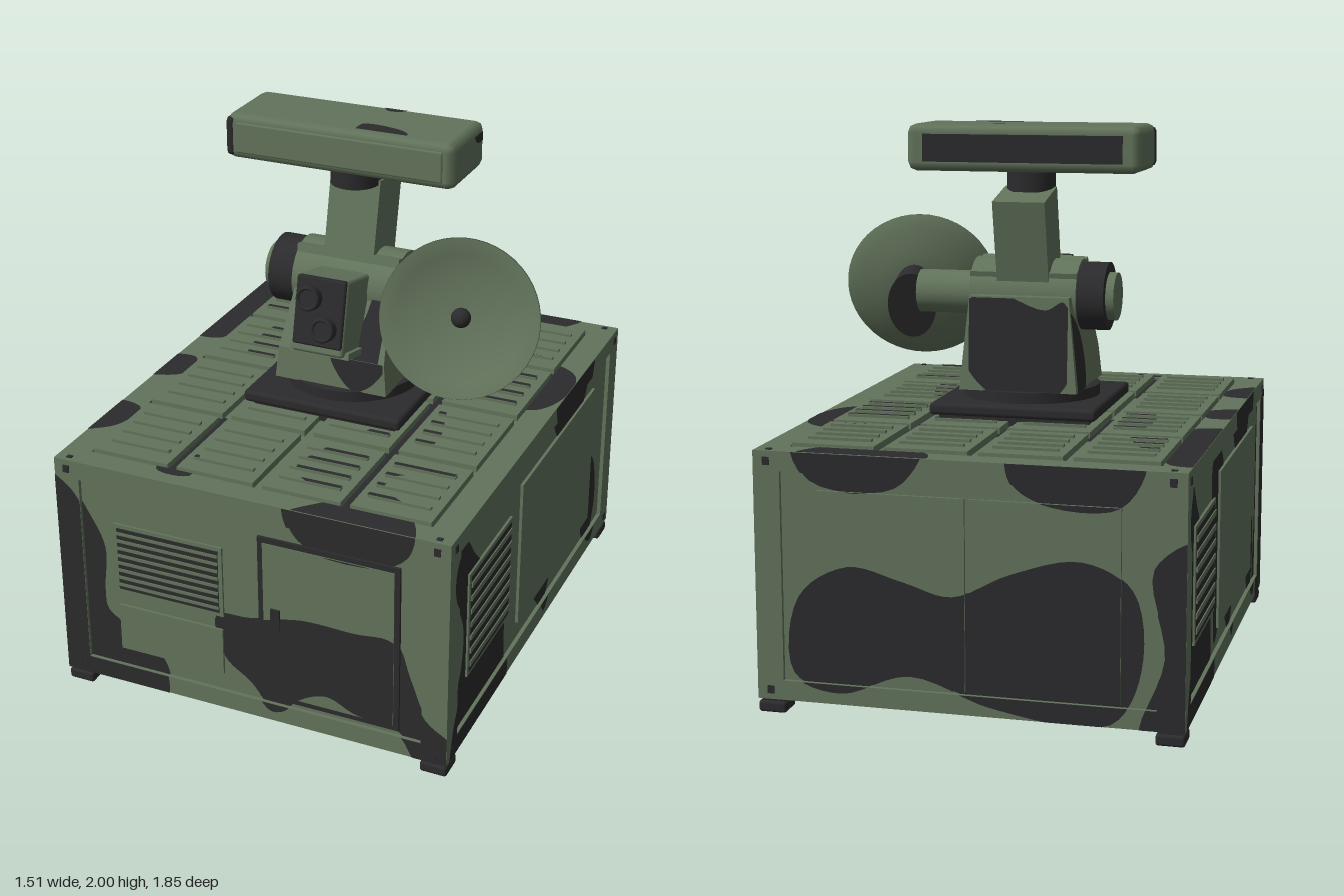
import * as THREE from 'three';
import { RoundedBoxGeometry } from 'three/addons/geometries/RoundedBoxGeometry.js';

const green = new THREE.MeshStandardMaterial({ color: 0x62735b });
green.name = 'field green';
const dark = new THREE.MeshStandardMaterial({ color: 0x2b2b2d });
dark.name = 'charcoal';

function add(parent, name, geo, mat, x = 0, y = 0, z = 0) {
  const m = new THREE.Mesh(geo, mat);
  m.name = name;
  m.position.set(x, y, z);
  parent.add(m);
  return m;
}
const box = (w, h, d) => new THREE.BoxGeometry(w, h, d);
const cyl = (a, b, h, n = 32) => new THREE.CylinderGeometry(a, b, h, n);
function group(parent, name, x = 0, y = 0, z = 0) {
  const g = new THREE.Group();
  g.name = name;
  g.position.set(x, y, z);
  parent.add(g);
  return g;
}

// Smooth closed outline through a few points
function blob(pts) {
  const c = new THREE.CatmullRomCurve3(pts.map(p => new THREE.Vector3(p[0], p[1], 0)), true);
  return c.getPoints(pts.length * 6).slice(0, -1).map(p => [p.x, p.y]);
}
// Cut an outline to a rectangle, one edge at a time
function clip(poly, u0, v0, u1, v1) {
  for (const [k, lim, s] of [[0, u0, 1], [0, u1, -1], [1, v0, 1], [1, v1, -1]]) {
    const out = [];
    poly.forEach((b, i) => {
      const a = poly[(i + poly.length - 1) % poly.length];
      const da = (a[k] - lim) * s, db = (b[k] - lim) * s;
      if ((da >= 0) !== (db >= 0)) {
        const t = da / (da - db);
        out.push([a[0] + (b[0] - a[0]) * t, a[1] + (b[1] - a[1]) * t]);
      }
      if (db >= 0) out.push(b);
    });
    poly = out;
  }
  return poly;
}
// A face is a group whose local +z points outward and which carries camouflage outlines
function face(parent, name, pos, rx, ry, blobs) {
  const g = group(parent, name, ...pos);
  g.rotation.set(rx, ry, 0, 'YXZ');
  g.userData.blobs = blobs.map(blob);
  return g;
}
function paint(f, u0, v0, u1, v1, d) {
  for (const b of f.userData.blobs) {
    const p = clip(b, u0, v0, u1, v1);
    if (p.length < 3) continue;
    const shape = new THREE.Shape(p.map(q => new THREE.Vector2(q[0], q[1])));
    add(f, 'camouflagePatch', new THREE.ShapeGeometry(shape), dark, 0, 0, d + 0.002);
  }
}
function slab(f, name, u0, v0, u1, v1, d, mat = green, painted = true) {
  add(f, name, box(u1 - u0, v1 - v0, 0.03), mat, (u0 + u1) / 2, (v0 + v1) / 2, d - 0.015);
  if (painted && mat === green) paint(f, u0, v0, u1, v1, d);
}
function louver(f, u0, v0, u1, v1, n) {
  slab(f, 'louverFrame', u0, v0, u1, v1, -0.006, green, false);
  slab(f, 'louverOpening', u0 + 0.015, v0 + 0.015, u1 - 0.015, v1 - 0.015, -0.004, dark);
  const step = (v1 - v0 - 0.04) / n;
  for (let i = 0; i < n; i++) {
    const v = v0 + 0.02 + step * (i + 0.3);
    slab(f, 'louverSlat', u0 + 0.015, v, u1 - 0.015, v + step * 0.38, 0, green, false);
  }
}
// Recessed wall, corner posts, rails and corner holes
function wall(f, w) {
  slab(f, 'wallPanel', -w + 0.09, 0.11, w - 0.09, 0.87, -0.015);
  slab(f, 'topRail', -w + 0.095, 0.86, w - 0.095, 0.93, 0);
  slab(f, 'bottomRail', -w + 0.095, 0.05, w - 0.095, 0.12, 0);
  for (const s of [-1, 1]) {
    const c = s * (w - 0.0475);
    slab(f, 'cornerPost', c - 0.0475, 0.05, c + 0.0475, 0.93, 0);
    for (const v of [0.085, 0.895]) slab(f, 'cornerHole', c - 0.012, v - 0.014, c + 0.012, v + 0.014, 0.004, dark);
  }
}

function buildShelter(root) {
  const g = group(root, 'shelter');
  add(g, 'core', box(1.44, 0.82, 1.78), green, 0, 0.49, 0);
  for (const x of [-0.7, 0.7]) for (const z of [-0.87, 0.87]) {
    add(g, 'foot', new RoundedBoxGeometry(0.1, 0.04, 0.1, 2, 0.01), dark, x, 0.02, z);
    add(g, 'footNeck', box(0.08, 0.03, 0.08), dark, x, 0.045, z);
  }

  const front = face(g, 'frontWall', [0, 0, 0.92], 0, 0, [
    [[-0.8, 0.87], [-0.7, 0.83], [-0.63, 0.73], [-0.57, 0.6], [-0.58, 0.42], [-0.57, 0.34], [-0.48, 0.28], [-0.38, 0.22], [-0.33, 0.13], [-0.35, 0], [-0.8, 0]],
    [[-0.13, 0.43], [0, 0.45], [0.2, 0.5], [0.4, 0.5], [0.55, 0.5], [0.61, 0.36], [0.67, 0.22], [0.8, 0.12], [0.8, 0], [0.65, 0.02], [0.57, 0.13], [0.4, 0.17], [0.3, 0.21], [0.2, 0.17], [0.13, 0.1], [0.08, 0.09], [0, 0.18], [-0.1, 0.26]],
    [[0.15, 0.97], [0.15, 0.87], [0.22, 0.79], [0.53, 0.79], [0.61, 0.87], [0.61, 0.97]]]);
  wall(front, 0.75);
  louver(front, -0.53, 0.43, -0.1, 0.71, 8);
  slab(front, 'servicePanel', -0.52, 0.19, -0.105, 0.375, -0.005, green, false);
  slab(front, 'doorFrame', 0.04, 0.14, 0.57, 0.795, -0.004, dark);
  slab(front, 'door', 0.06, 0.16, 0.55, 0.775, -0.001);
  slab(front, 'doorHandle', 0.09, 0.44, 0.125, 0.52, 0.007, dark);

  const back = face(g, 'backWall', [0, 0, -0.92], 0, Math.PI, [
    [[-0.62, 0.15], [-0.6, 0.42], [-0.42, 0.54], [-0.22, 0.5], [-0.05, 0.46], [0.15, 0.55], [0.4, 0.61], [0.57, 0.52], [0.6, 0.25], [0.5, 0.06], [0.1, 0.08], [-0.2, 0.17], [-0.45, 0.09]],
    [[0.15, 0.97], [0.15, 0.87], [0.25, 0.8], [0.53, 0.8], [0.61, 0.97]],
    [[-0.61, 0.97], [-0.55, 0.83], [-0.25, 0.82], [-0.15, 0.97]],
    [[0.64, 0.6], [0.8, 0.7], [0.8, 0], [0.6, 0.02], [0.68, 0.3]]]);
  wall(back, 0.75);
  for (const u of [-0.53, 0.005]) slab(back, 'rearDoor', u, 0.13, u + 0.525, 0.8, -0.004);

  const sideBlobs = [
    [[-0.87, 0.78], [-0.82, 0.85], [-0.74, 0.85], [-0.66, 0.76], [-0.6, 0.7], [-0.45, 0.55], [-0.35, 0.4], [-0.32, 0.2], [-0.34, 0], [-0.88, 0], [-0.87, 0.15], [-0.82, 0.25], [-0.76, 0.36], [-0.75, 0.5], [-0.79, 0.59], [-0.86, 0.68]],
    [[0.15, 0.97], [0.16, 0.87], [0.23, 0.77], [0.52, 0.77], [0.59, 0.87], [0.6, 0.97]],
    [[0.6, 0.47], [0.7, 0.45], [0.76, 0.3], [0.75, 0.18], [0.69, 0.08], [0.62, 0.11], [0.58, 0.2]],
    [[0, 0.21], [0.06, 0.13], [0.1, 0.08], [0.19, 0.18], [0.1, 0.25]]];
  const side = (name, x, ry, blobs) => {
    const f = face(g, name, [x, 0, 0], 0, ry, blobs);
    wall(f, 0.92);
    louver(f, -0.72, 0.29, -0.29, 0.705, 7);
    slab(f, 'sideHatch', -0.19, 0.195, 0.655, 0.78, -0.004, green, false);
  };
  side('leftWall', 0.75, Math.PI / 2, sideBlobs);
  side('rightWall', -0.75, -Math.PI / 2, [...sideBlobs,
    [[-0.33, 0.83], [-0.2, 0.86], [-0.08, 0.8], [-0.14, 0.5], [-0.15, 0.2], [-0.24, 0.15], [-0.28, 0.45]],
    [[0.83, 0.85], [0.97, 0.87], [0.97, 0], [0.78, 0], [0.8, 0.4]]]);

  // Roof with sixteen ribbed pads
  const roof = face(g, 'roof', [0, 0.93, 0], -Math.PI / 2, 0, [
    [[-0.8, 0.82], [-0.67, 0.82], [-0.65, 0.55], [-0.66, 0.2], [-0.8, 0.2]],
    [[-0.8, -0.03], [-0.67, 0], [-0.65, -0.15], [-0.8, -0.2]],
    [[-0.8, -0.45], [-0.66, -0.46], [-0.67, -0.62], [-0.8, -0.7]],
    [[0.15, 0.97], [0.15, 0.85], [0.3, 0.78], [0.53, 0.82], [0.6, 0.97]],
    [[0.15, -0.97], [0.25, -0.83], [0.4, -0.72], [0.56, -0.8], [0.62, -0.97]],
    [[0.3, 0.45], [0.62, 0.5], [0.73, 0.43], [0.75, 0.25], [0.68, 0.1], [0.4, 0.05], [0.45, -0.35], [0.2, -0.44], [0.28, 0]],
    [[-0.66, 0.7], [-0.57, 0.7], [-0.48, 0.52], [-0.48, 0.44], [-0.66, 0.42]],
    [[-0.48, 0.38], [-0.3, 0.46], [0, 0.46], [0.3, 0.37], [0.27, 0.28], [0, 0.32], [-0.32, 0.05], [-0.47, 0.05]],
    [[-0.4, -0.4], [-0.28, -0.42], [-0.3, -0.6], [-0.25, -0.85], [-0.38, -0.85], [-0.36, -0.6]],
    [[0.15, -0.46], [0.34, -0.4], [0.6, -0.47], [0.6, -0.54], [0.42, -0.6], [0.4, -0.75], [0.2, -0.78], [0.08, -0.68], [0.1, -0.55]]]);
  slab(roof, 'roofSheet', -0.66, -0.84, 0.66, 0.84, -0.012);
  for (const s of [-1, 1]) {
    slab(roof, 'roofSideRail', s * 0.7 - 0.05, -0.92, s * 0.7 + 0.05, 0.92, 0);
    slab(roof, 'roofEndRail', -0.65, s * 0.875 - 0.045, 0.65, s * 0.875 + 0.045, 0);
    for (const v of [-0.895, 0.895]) slab(roof, 'cornerHole', s * 0.7 - 0.01, v - 0.008, s * 0.7 + 0.01, v + 0.008, 0.004, dark);
  }
  for (let i = 0; i < 4; i++) for (let j = 0; j < 4; j++) {
    const u = -0.495 + i * 0.33, v = -0.63 + j * 0.42;
    slab(roof, 'roofPad', u - 0.147, v - 0.195, u + 0.147, v + 0.195, 0.012, green, false);
    for (let k = -1.5; k < 2; k++) slab(roof, 'roofRib', u - 0.115, v + k * 0.077 - 0.009, u + 0.115, v + k * 0.077 + 0.009, 0.022);
  }

  const floor = face(g, 'underside', [0, 0.05, 0], Math.PI / 2, 0, [
    [[0.8, -0.45], [0.5, -0.5], [0.2, -0.6], [-0.2, -0.75], [-0.55, -0.72], [-0.6, -0.5], [-0.3, -0.42], [0, -0.35], [0.3, -0.2], [0.6, -0.1], [0.8, -0.15]],
    [[0.6, 0.25], [0.3, 0.15], [0, 0.1], [-0.35, -0.06], [-0.55, 0.05], [-0.4, 0.22], [-0.15, 0.34], [0.2, 0.47], [0.55, 0.5]],
    [[0.12, 0.72], [-0.2, 0.68], [-0.5, 0.58], [-0.6, 0.75], [-0.35, 0.88], [0, 0.88]],
    [[0.1, -0.88], [0.3, -0.75], [0.5, -0.85], [0.4, -1], [0.1, -1]],
    [[-0.65, 0.3], [-0.8, 0.4], [-0.8, 0], [-0.7, 0.05]]]);
  slab(floor, 'floorPlate', -0.75, -0.92, 0.75, 0.92, 0);
}

function buildMount(root) {
  const g = group(root, 'sensorMount');
  add(g, 'basePlinth', box(0.56, 0.04, 0.56), dark, 0, 0.945, 0);
  add(g, 'basePlate', new RoundedBoxGeometry(0.62, 0.045, 0.62, 2, 0.015), dark, 0, 0.98, 0);
  add(g, 'turntable', cyl(0.255, 0.255, 0.045, 40), dark, 0, 1.02, 0);

  // Pedestal: side profile, narrowing toward the top
  const prof = new THREE.Shape([[0.22, 1.04], [0.21, 1.16], [0.1, 1.385], [-0.2, 1.385], [-0.22, 1.04]].map(p => new THREE.Vector2(-p[0], p[1])));
  const geo = new THREE.ExtrudeGeometry(prof, { depth: 0.44, bevelEnabled: false });
  geo.translate(0, 0, -0.22).rotateY(Math.PI / 2);
  const p = geo.attributes.position;
  for (let i = 0; i < p.count; i++) p.setX(i, p.getX(i) * (1 - (p.getY(i) - 1.04) * 0.45));
  geo.computeVertexNormals();
  add(g, 'pedestal', geo, green);
  const patch = (name, pos, rx, ry, pts, lim) => paint(face(g, name, pos, rx, ry, [pts]), ...lim, 0.001);
  patch('pedestalFrontLower', [0, 1.04, 0.22], -0.083, 0, [[0, 0.13], [0.05, 0.03], [0.1, 0], [0.17, 0.04], [0.22, 0.14]], [-0.2, 0, 0.205, 0.12]);
  patch('pedestalFrontUpper', [0, 1.16, 0.21], -0.455, 0, [[0, -0.03], [0.04, 0.06], [0.1, 0.14], [0.14, 0.27], [0.25, 0.27], [0.25, -0.03]], [-0.18, 0, 0.185, 0.245]);
  patch('pedestalBack', [0, 1.04, -0.22], -0.058, Math.PI, [[-0.22, 0.3], [-0.1, 0.36], [0.1, 0.3], [0.17, 0.33], [0.21, 0.1], [0.12, -0.03], [-0.08, -0.02], [-0.2, 0.1]], [-0.185, 0, 0.185, 0.34]);
  patch('pedestalLeft', [0.22, 1.04, 0], -0.099, Math.PI / 2, [[-0.1, 0.28], [0.05, 0.36], [0.25, 0.37], [0.2, 0.15], [0.12, 0.02], [0.05, 0.05], [-0.02, 0.13], [-0.1, 0.14]], [-0.1, 0, 0.2, 0.34]);
  patch('pedestalRight', [-0.22, 1.04, 0], -0.099, -Math.PI / 2, [[-0.25, 0.3], [-0.1, 0.22], [-0.05, 0.08], [-0.1, -0.03], [-0.25, -0.03]], [-0.2, 0, 0.1, 0.34]);

  // Elevating head, leaning back
  const head = group(g, 'elevatingHead', 0, 1.4, 0);
  head.rotation.x = -0.22;
  add(head, 'headBody', box(0.4, 0.22, 0.2), green, 0, -0.015, -0.02);
  add(head, 'mastColumn', box(0.195, 0.5, 0.2), green, 0, 0.115, -0.03);
  add(head, 'opticsHousing', new RoundedBoxGeometry(0.2, 0.28, 0.25, 1, 0.012), green, 0, -0.11, 0.165);
  add(head, 'opticsFace', new RoundedBoxGeometry(0.19, 0.25, 0.03, 1, 0.008), dark, 0, -0.095, 0.285);
  add(head, 'opticsLip', box(0.23, 0.025, 0.16), green, 0, -0.245, 0.185);
  for (const [x, y] of [[-0.035, -0.045], [0.03, -0.15]]) {
    add(head, 'lensBarrel', cyl(0.045, 0.045, 0.05, 24), dark, x, y, 0.305).rotation.x = Math.PI / 2;
    add(head, 'lensRim', new THREE.TorusGeometry(0.038, 0.007, 8, 24), dark, x, y, 0.33);
  }

  // Elevation drive drum
  const roll = (name, r, x0, x1, mat) => { add(g, name, cyl(r, r, x1 - x0), mat, (x0 + x1) / 2, 1.375, -0.02).rotation.z = Math.PI / 2; };
  roll('driveDrum', 0.125, -0.3, -0.19, dark);
  roll('driveCap', 0.088, -0.33, -0.3, green);
  roll('driveCollar', 0.135, -0.2, 0.2, green);
  roll('dishArm', 0.08, 0.19, 0.42, green);

  // Radar antenna on top of the mast
  add(g, 'antennaBearing', cyl(0.09, 0.09, 0.09), dark, 0, 1.8, -0.01);
  const radar = group(g, 'searchAntenna', -0.002, 1.915, -0.01);
  add(radar, 'antennaHousing', new RoundedBoxGeometry(0.87, 0.17, 0.31, 1, 0.032), green);
  add(radar, 'antennaDarkEdge', new RoundedBoxGeometry(0.04, 0.145, 0.06, 1, 0.018), dark, -0.417, 0, 0.127);
  add(radar, 'antennaFrontPanel', new RoundedBoxGeometry(0.79, 0.115, 0.02, 1, 0.008), green, 0, 0, 0.15);
  add(radar, 'antennaRearPanel', box(0.74, 0.1, 0.02), dark, 0, 0, -0.152);
  paint(face(radar, 'antennaTop', [0, 0.085, 0], -Math.PI / 2, 0, [
    [[0.06, -0.07], [0.13, -0.06], [0.24, -0.1], [0.25, -0.17], [0.08, -0.17]],
    [[0.06, 0.17], [0.08, 0.1], [0.13, 0.1], [0.17, 0.17]]]), -0.4, -0.123, 0.4, 0.123, 0);
  paint(face(radar, 'antennaEnd', [0.435, 0, 0], 0, Math.PI / 2, [
    [[0.04, 0.1], [0.05, 0.04], [0.09, 0.02], [0.15, 0.03], [0.15, 0.1]]]), -0.123, -0.053, 0.123, 0.053, 0);

  // Tracking dish, turned slightly up and outward
  const dish = group(g, 'trackingDish', 0.474, 1.372, 0.16);
  dish.rotation.set(-0.29, 0.19, 0, 'YXZ');
  const bowl = [[0.001, -0.075], [0.1, -0.07], [0.17, -0.05], [0.24, -0.022], [0.288, 0.004], [0.285, 0.014], [0.23, -0.008], [0.16, -0.028], [0.08, -0.041], [0.001, -0.045]];
  add(dish, 'dishBowl', new THREE.LatheGeometry(bowl.map(q => new THREE.Vector2(q[0], q[1])), 48), green).rotation.x = Math.PI / 2;
  add(dish, 'feedKnob', new THREE.SphereGeometry(0.036, 20, 14), dark, 0, 0, -0.03);
  const hub = add(dish, 'dishHub', cyl(0.11, 0.13, 0.14), dark, 0.02, 0, -0.125);
  hub.rotation.x = Math.PI / 2;
  hub.scale.x = 0.7;
}

export function createModel() {
  const root = new THREE.Group();
  root.name = 'radarShelter';
  buildShelter(root);
  buildMount(root);
  return root;
}
